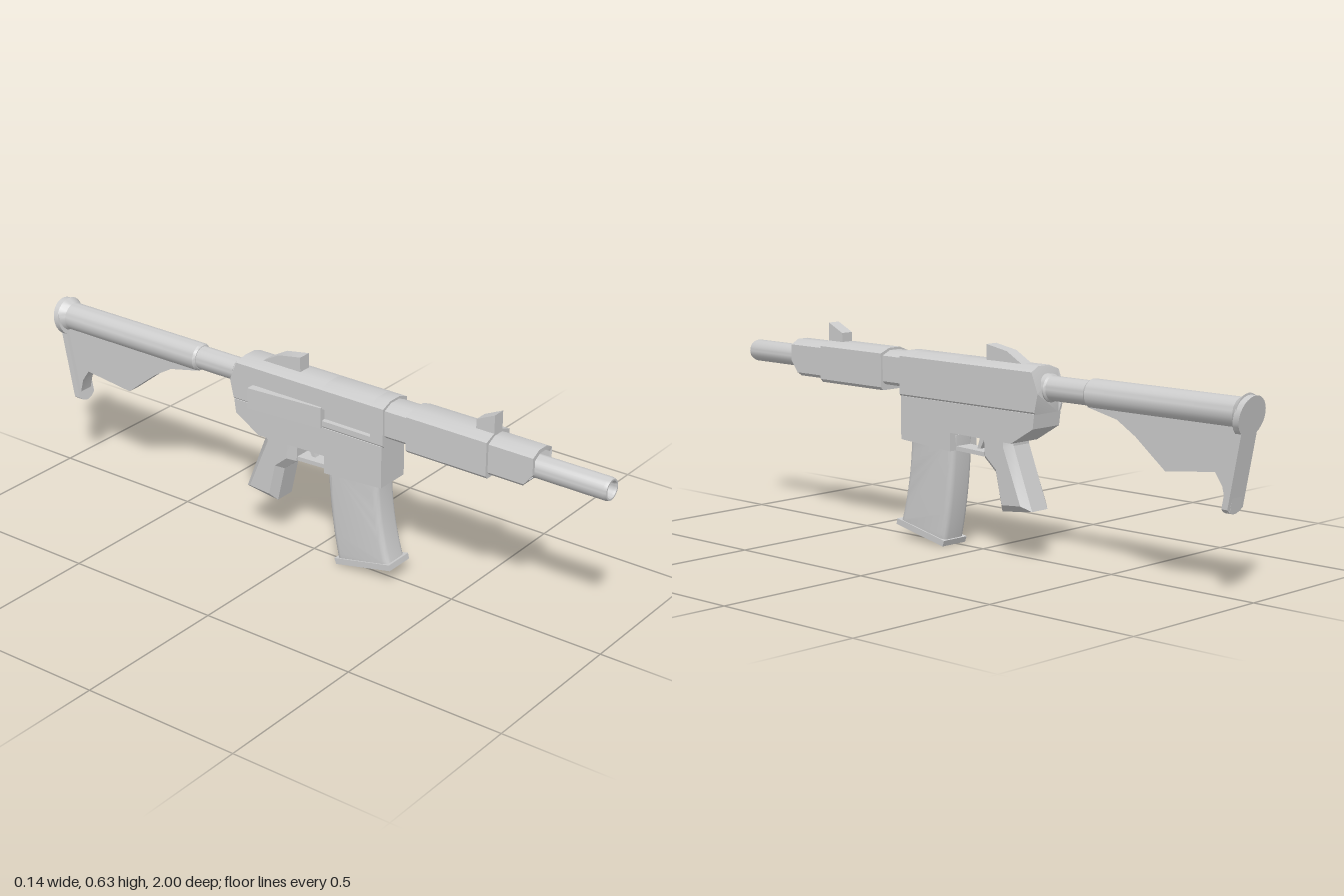
import * as THREE from 'three';
import { toCreasedNormals } from 'three/addons/utils/BufferGeometryUtils.js';

const CX = 0.012; // middle of the receiver
const AXIS_X = 0.007, AXIS_Y = 0.511; // barrel and stock axis

export function createModel() {
  const group = new THREE.Group();
  const material = new THREE.MeshStandardMaterial({ color: 0xcccccc });

  const add = (name, geometry, crease = 0.5) => {
    const mesh = new THREE.Mesh(toCreasedNormals(geometry, crease), material);
    mesh.name = name;
    group.add(mesh);
    return mesh;
  };
  const shapeOf = (pts) => new THREE.Shape(pts.map(([x, y]) => new THREE.Vector2(x, y)));

  // Side outline given as [z, y], extruded across x
  const sidePlate = (shape, width, x = CX, bevel = 0, segments = 1) => {
    const g = new THREE.ExtrudeGeometry(shape, {
      depth: width - 2 * bevel, bevelEnabled: bevel > 0, bevelSize: bevel,
      bevelThickness: bevel, bevelOffset: -bevel, bevelSegments: segments, curveSegments: 10,
    });
    return g.translate(0, 0, bevel - width / 2).rotateY(-Math.PI / 2).translate(x, 0, 0);
  };

  // Cross-section given as [x, y], extruded from z0 to z1; ends can be reshaped by a rule
  const prism = (shape, z0, z1, rule) => {
    const g = new THREE.ExtrudeGeometry(shape, { depth: z1 - z0, bevelEnabled: false, curveSegments: 16 });
    g.translate(0, 0, z0);
    if (rule) {
      const p = g.attributes.position;
      for (let i = 0; i < p.count; i++) p.setZ(i, rule(p.getY(i), p.getZ(i)));
    }
    return g;
  };

  // Radius profile [r, z] turned about the barrel axis
  const turned = (profile) => new THREE.LatheGeometry(profile.map(([r, z]) => new THREE.Vector2(r, z)), 28)
    .rotateX(Math.PI / 2).translate(AXIS_X, AXIS_Y, 0);

  // Cross-section with sloping shoulders and small lower chamfers
  const section = (half, bottom, shoulder, top, notch = []) => [
    [CX - half + 0.01, bottom], [CX + half - 0.01, bottom], [CX + half, bottom + 0.01], [CX + half, 0.5],
    [CX + half, shoulder], [CX + half * 0.4, top], [CX - half * 0.4, top], [CX - half, shoulder],
    ...(notch.length ? notch : [[CX - half, 0.5]]), [CX - half, bottom + 0.01],
  ];

  // Upper receiver: the middle length is notched for the ejection port
  const port = [[-0.046, 0.5], [-0.03, 0.5], [-0.03, 0.462], [-0.046, 0.462]];
  const upper = section(0.058, 0.435, 0.56, 0.574);
  const rearSlope = (y, z) => {
    if (z > -0.2) return z;
    return y > 0.5 ? -0.28 + (y - 0.5) * 0.4 : -0.28 + (0.5 - y) * 0.23;
  };
  add('upperReceiverRear', prism(shapeOf(upper), -0.28, 0.06, rearSlope));
  add('ejectionPort', prism(shapeOf(section(0.058, 0.435, 0.56, 0.574, port)), 0.06, 0.235));
  add('upperReceiverFront', prism(shapeOf(upper), 0.235, 0.28));

  // Lower receiver with magazine well
  add('lowerReceiver', sidePlate(shapeOf([
    [0.275, 0.44], [0.275, 0.308], [0.07, 0.294], [0.07, 0.35], [-0.175, 0.345], [-0.26, 0.396], [-0.266, 0.44],
  ]), 0.113));
  add('triggerGuard', sidePlate(shapeOf([[0.075, 0.307], [0.075, 0.294], [-0.07, 0.288], [-0.07, 0.301]]), 0.06));
  add('trigger', sidePlate(shapeOf([[-0.012, 0.352], [0.002, 0.306], [-0.01, 0.306], [-0.035, 0.352]]), 0.02));

  // Pistol grip
  add('grip', sidePlate(shapeOf([
    [-0.045, 0.37], [-0.05, 0.288], [-0.095, 0.25], [-0.121, 0.136], [-0.238, 0.15], [-0.165, 0.335], [-0.165, 0.37],
  ]), 0.11, CX, 0.022), 0.3);

  // Curved magazine and its floor plate
  const magazine = new THREE.Shape();
  magazine.moveTo(0.25, 0.34);
  magazine.quadraticCurveTo(0.252, 0.18, 0.3, 0.04);
  magazine.lineTo(0.112, 0.005);
  magazine.quadraticCurveTo(0.075, 0.15, 0.068, 0.34);
  add('magazine', sidePlate(magazine, 0.089, CX, 0.018, 4), 0.7);
  add('magazineFloorPlate', sidePlate(shapeOf([
    [0.302, 0.06], [0.306, 0.042], [0.11, 0], [0.103, 0.018],
  ]), 0.097));

  // Handguard: neck, main length and hollow nose cut back underneath
  add('handguardNeck', prism(shapeOf(section(0.05, 0.465, 0.553, 0.567)), 0.27, 0.38));
  add('handguard', prism(shapeOf(section(0.058, 0.447, 0.56, 0.574)), 0.36, 0.63));
  const nose = shapeOf(section(0.048, 0.456, 0.552, 0.567));
  nose.holes.push(new THREE.Path(section(0.037, 0.47, 0.543, 0.555)
    .reverse().map(([x, y]) => new THREE.Vector2(x, y))));
  add('handguardNose', prism(nose, 0.62, 0.775, (y, z) => (z > 0.7 && y < 0.49 ? 0.74 + (y - 0.456) * 0.8 : z)));

  // Barrel with open bore
  add('barrel', turned([
    [0, 0.62], [0.034, 0.62], [0.034, 0.99], [0.031, 1], [0.026, 1], [0.024, 0.992], [0.024, 0.85], [0, 0.85],
  ]));

  // Sights
  add('frontSight', sidePlate(shapeOf([[0.63, 0.56], [0.63, 0.63], [0.57, 0.602], [0.57, 0.56]]), 0.041));
  add('rearSight', sidePlate(shapeOf([
    [-0.045, 0.56], [-0.045, 0.62], [-0.125, 0.606], [-0.19, 0.57], [-0.19, 0.56],
  ]), 0.041));

  // Wedge-shaped block on the right side, thickest at the rear
  const wedge = new THREE.BoxGeometry(0.035, 0.065, 0.255).translate(-0.0555, 0.4725, -0.065);
  const wp = wedge.attributes.position;
  for (let i = 0; i < wp.count; i++) if (wp.getX(i) < -0.05 && wp.getZ(i) > 0) wp.setX(i, -0.053);
  add('sideBlock', wedge);

  // Buffer tube, collar and stock tube
  add('bufferTube', turned([[0, -0.45], [0.036, -0.45], [0.036, -0.285], [0.041, -0.28], [0.041, -0.25], [0, -0.25]]));
  add('stockTube', turned([
    [0, -0.978], [0.056, -0.976], [0.043, -0.955], [0.043, -0.436], [0.038, -0.428], [0, -0.428],
  ]));

  // Stock web below the tube
  add('stockWeb', sidePlate(shapeOf([
    [-0.432, 0.5], [-0.432, 0.474], [-0.54, 0.45], [-0.607, 0.41], [-0.714, 0.326], [-0.885, 0.346],
    [-0.91, 0.31], [-0.928, 0.24], [-0.937, 0.24], [-0.98, 0.5],
  ]), 0.044, AXIS_X));

  // Keyhole-shaped butt plate, leaning forward toward its foot
  const butt = new THREE.Shape();
  butt.moveTo(-0.034, 0.25);
  butt.quadraticCurveTo(0, 0.218, 0.034, 0.25);
  const a = Math.acos(0.034 / 0.057);
  butt.lineTo(0.034, 0.505 - 0.057 * Math.sin(a));
  butt.absarc(0, 0.505, 0.057, -a, Math.PI + a, false);
  add('buttPlate', prism(butt, 0, 0.02, (y, z) => z - 1 + 0.2 * (0.562 - y)).translate(AXIS_X, 0, 0));

  return group;
}
